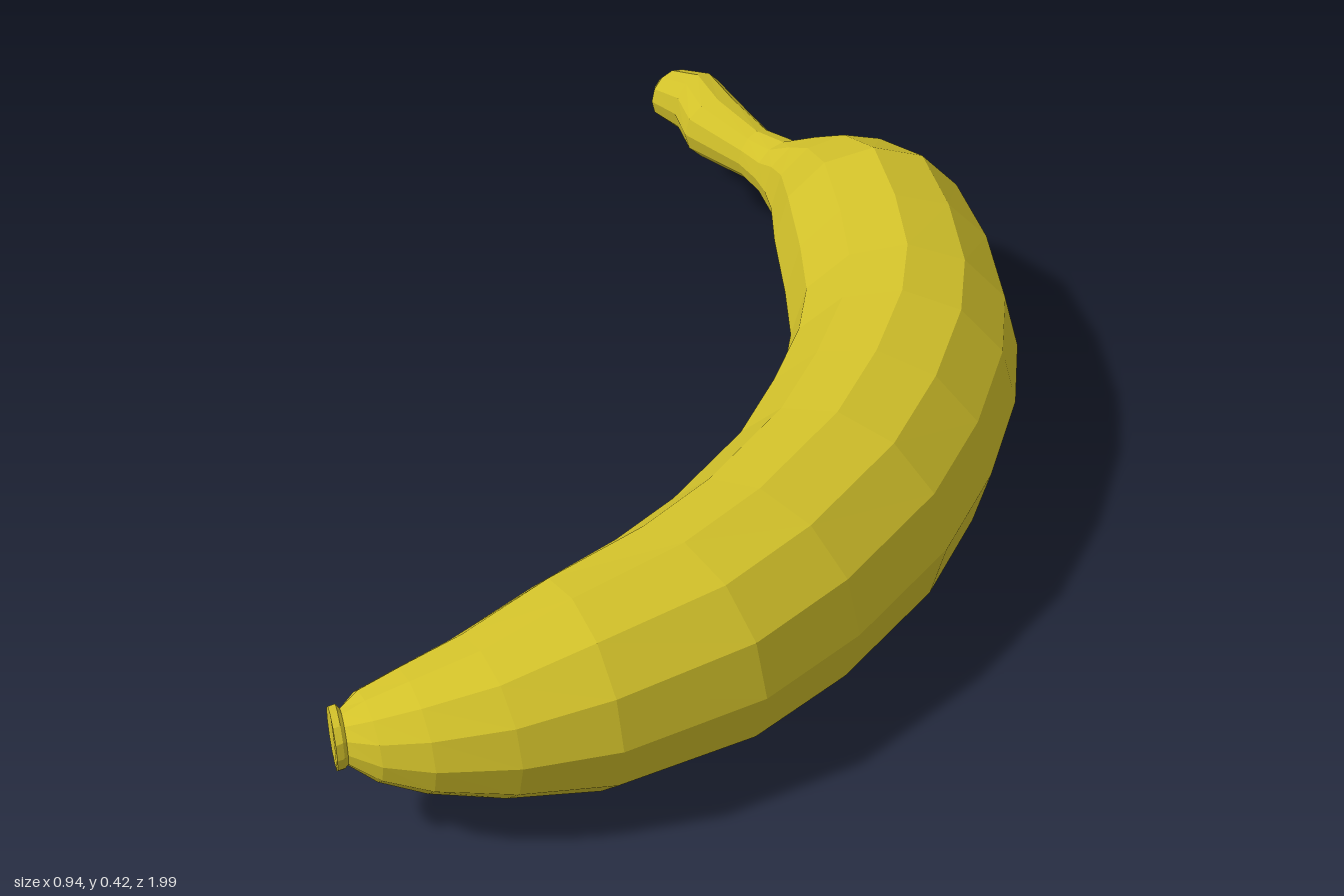
import * as THREE from 'three';

const SIDES = 12;
const MID_Y = 0.208;

// Each ring: outer edge x, z, inner edge x, z, vertical radius
const TIP = [
  [-0.278, 0.985, -0.318, 0.918, 0.04],
  [-0.270, 0.995, -0.327, 0.908, 0.05],
  [-0.262, 0.986, -0.318, 0.900, 0.051],
  [-0.260, 0.978, -0.308, 0.905, 0.045],
];
const BODY = [
  [-0.260, 0.978, -0.308, 0.905, 0.045],
  [-0.200, 0.985, -0.300, 0.872, 0.072],
  [-0.120, 0.970, -0.260, 0.820, 0.100],
  [0.000, 0.920, -0.200, 0.740, 0.133],
  [0.130, 0.835, -0.120, 0.600, 0.175],
  [0.295, 0.650, -0.040, 0.460, 0.192],
  [0.385, 0.460, 0.010, 0.340, 0.200],
  [0.455, 0.210, 0.055, 0.150, 0.207],
  [0.470, 0.000, 0.060, 0.000, 0.208],
  [0.455, -0.210, 0.055, -0.150, 0.207],
  [0.415, -0.370, 0.030, -0.270, 0.203],
  [0.330, -0.550, -0.020, -0.390, 0.196],
  [0.230, -0.700, -0.090, -0.540, 0.186],
  [0.100, -0.790, -0.130, -0.640, 0.138],
  [0.000, -0.805, -0.160, -0.690, 0.100],
  [-0.110, -0.812, -0.190, -0.725, 0.062],
];
const STEM = [
  [-0.110, -0.812, -0.190, -0.725, 0.062],
  [-0.192, -0.845, -0.235, -0.762, 0.052],
  [-0.260, -0.905, -0.365, -0.825, 0.065],
  [-0.350, -0.990, -0.408, -0.888, 0.064],
  [-0.410, -0.998, -0.465, -0.915, 0.052],
  [-0.440, -0.993, -0.471, -0.940, 0.032],
];

// Faceted skin over a run of rings, with optional flat end caps
function skin(name, rings, material, capStart, capEnd) {
  const points = rings.map(([ox, oz, ix, iz, ry]) => {
    const cx = (ox + ix) / 2, cz = (oz + iz) / 2;
    return Array.from({ length: SIDES }, (_, j) => {
      const a = (j / SIDES) * Math.PI * 2;
      return [cx + Math.cos(a) * (ox - cx), MID_Y + Math.sin(a) * ry, cz + Math.cos(a) * (oz - cz)];
    });
  });
  const pos = [];
  const tri = (a, b, c) => pos.push(...a, ...b, ...c);
  const last = points.length - 1;
  for (let j = 0; j < SIDES; j++) {
    const k = (j + 1) % SIDES;
    for (let i = 0; i < last; i++) {
      const p = points[i], q = points[i + 1];
      tri(p[j], q[j], p[k]);
      tri(p[k], q[j], q[k]);
    }
    if (capStart && j > 0) tri(points[0][0], points[0][j], points[0][k]);
    if (capEnd && j > 0) tri(points[last][0], points[last][k], points[last][j]);
  }
  const geometry = new THREE.BufferGeometry();
  geometry.setAttribute('position', new THREE.Float32BufferAttribute(pos, 3));
  geometry.computeVertexNormals();
  const mesh = new THREE.Mesh(geometry, material);
  mesh.name = name;
  return mesh;
}

export function createModel() {
  const group = new THREE.Group();
  group.name = 'banana';
  const peel = new THREE.MeshStandardMaterial({ color: 0xd2c12a, flatShading: true });
  group.add(
    skin('blossomTip', TIP, peel, true, false),
    skin('fruitBody', BODY, peel, false, false),
    skin('stem', STEM, peel, false, true),
  );
  return group;
}
